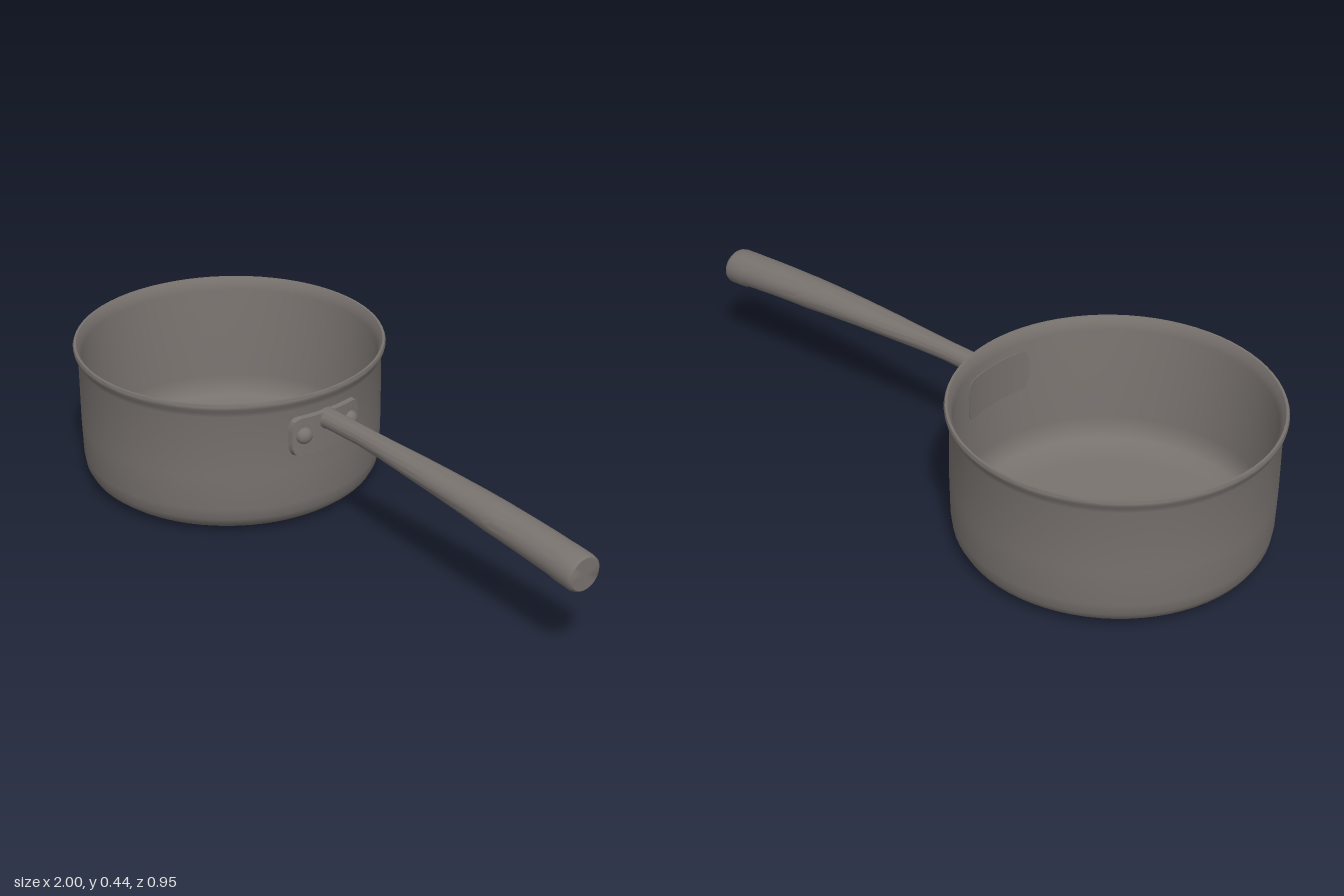
import * as THREE from 'three';
import { toCreasedNormals } from 'three/addons/utils/BufferGeometryUtils.js';

const PAN_X = -0.527;
const WALL_R = 0.46;

// Rounded tube lofted along x from rows of [x, top, bottom, halfWidth, undersideLimit?]
function loft(rows, sides) {
  const pos = [], index = [];
  for (const [x, top, bottom, w, limit] of rows) {
    const cy = (top + bottom) / 2, h = (top - bottom) / 2;
    for (let j = 0; j < sides; j++) {
      const a = (j / sides) * Math.PI * 2;
      let y = cy + h * Math.cos(a);
      const z = w * Math.sin(a);
      // the finger recess cuts the underside to a shallow groove
      if (limit !== undefined && y < limit) {
        y = limit + 0.015 * Math.max(0, 1 - (z / (0.7 * w)) ** 2);
      }
      pos.push(x, y, z);
    }
  }
  for (let i = 0; i < rows.length - 1; i++) {
    for (let j = 0; j < sides; j++) {
      const a = i * sides + j, b = i * sides + (j + 1) % sides;
      index.push(a, b, a + sides, b, b + sides, a + sides);
    }
  }
  // end cap
  const last = rows[rows.length - 1], base = (rows.length - 1) * sides;
  pos.push(last[0], (last[1] + last[2]) / 2, 0);
  for (let j = 0; j < sides; j++) {
    index.push(pos.length / 3 - 1, base + j, base + (j + 1) % sides);
  }
  const g = new THREE.BufferGeometry();
  g.setAttribute('position', new THREE.Float32BufferAttribute(pos, 3));
  g.setIndex(index);
  return toCreasedNormals(g, 0.7);
}

// Rounded rectangular plate bent to follow the pan wall
function bentPlate() {
  const H = 0.065, W = 0.13, r = 0.03;
  const g = new THREE.BoxGeometry(0.03, H * 2, W * 2, 1, 4, 32);
  const p = g.attributes.position;
  for (let i = 0; i < p.count; i++) {
    let x = p.getX(i), y = p.getY(i), z = p.getZ(i);
    const d = Math.max(0, Math.abs(z) - (W - r));
    y *= (H - r + Math.sqrt(Math.max(0, r * r - d * d))) / H;
    if (x > 0) { y *= 0.92; z *= 0.95; }
    x += Math.sqrt(WALL_R * WALL_R - z * z);
    p.setXYZ(i, x, y, z);
  }
  return toCreasedNormals(g, 0.5);
}

export function createModel() {
  const group = new THREE.Group();
  const metal = new THREE.MeshStandardMaterial({ color: 0x78726e });
  metal.name = 'dark grey metal';

  const add = (name, geometry, x = 0, y = 0, z = 0) => {
    const mesh = new THREE.Mesh(geometry, metal);
    mesh.name = name;
    mesh.position.set(x, y, z);
    group.add(mesh);
    return mesh;
  };

  // Pan: outer wall up, flared rim, inner wall down to the floor
  const profile = [
    [0, 0], [0.34, 0.001], [0.385, 0.006], [0.418, 0.016], [0.44, 0.033],
    [0.452, 0.055], [0.457, 0.09], [0.46, 0.2], [0.46, 0.395], [0.464, 0.41],
    [0.472, 0.422], [0.474, 0.432], [0.471, 0.439], [0.464, 0.439],
    [0.455, 0.425], [0.449, 0.4], [0.448, 0.1], [0.442, 0.062],
    [0.425, 0.036], [0.39, 0.021], [0.34, 0.015], [0, 0.014],
  ].map(([r, y]) => new THREE.Vector2(r, y));
  add('pan', toCreasedNormals(new THREE.LatheGeometry(profile, 72), 0.8), PAN_X);

  // Handle mount and its two rivets
  add('handlePlate', bentPlate(), PAN_X, 0.31, 0);
  for (const s of [-1, 1]) {
    const rivet = add(s > 0 ? 'frontRivet' : 'backRivet',
      new THREE.SphereGeometry(0.026, 20, 14), -0.062, 0.314, s * 0.086);
    rivet.scale.x = 0.85;
    rivet.rotation.y = -s * 0.19;
  }

  // Handle: slim neck, swelling grip, recess beneath, blunt end
  add('handle', loft([
    [-0.075, 0.376, 0.308, 0.038],
    [-0.04, 0.375, 0.316, 0.031],
    [0.1, 0.375, 0.317, 0.03],
    [0.2, 0.375, 0.313, 0.034],
    [0.32, 0.375, 0.306, 0.042],
    [0.45, 0.374, 0.297, 0.048],
    [0.58, 0.372, 0.285, 0.053],
    [0.655, 0.37, 0.276, 0.055],
    [0.675, 0.369, 0.275, 0.056, 0.279],
    [0.69, 0.368, 0.273, 0.056, 0.288],
    [0.78, 0.364, 0.264, 0.057, 0.283],
    [0.86, 0.359, 0.255, 0.058, 0.276],
    [0.91, 0.355, 0.249, 0.058, 0.268],
    [0.925, 0.354, 0.246, 0.059, 0.255],
    [0.94, 0.353, 0.244, 0.059],
    [0.985, 0.349, 0.24, 0.059],
    [0.996, 0.346, 0.243, 0.056],
    [1.0, 0.342, 0.247, 0.051],
  ], 32));

  return group;
}
